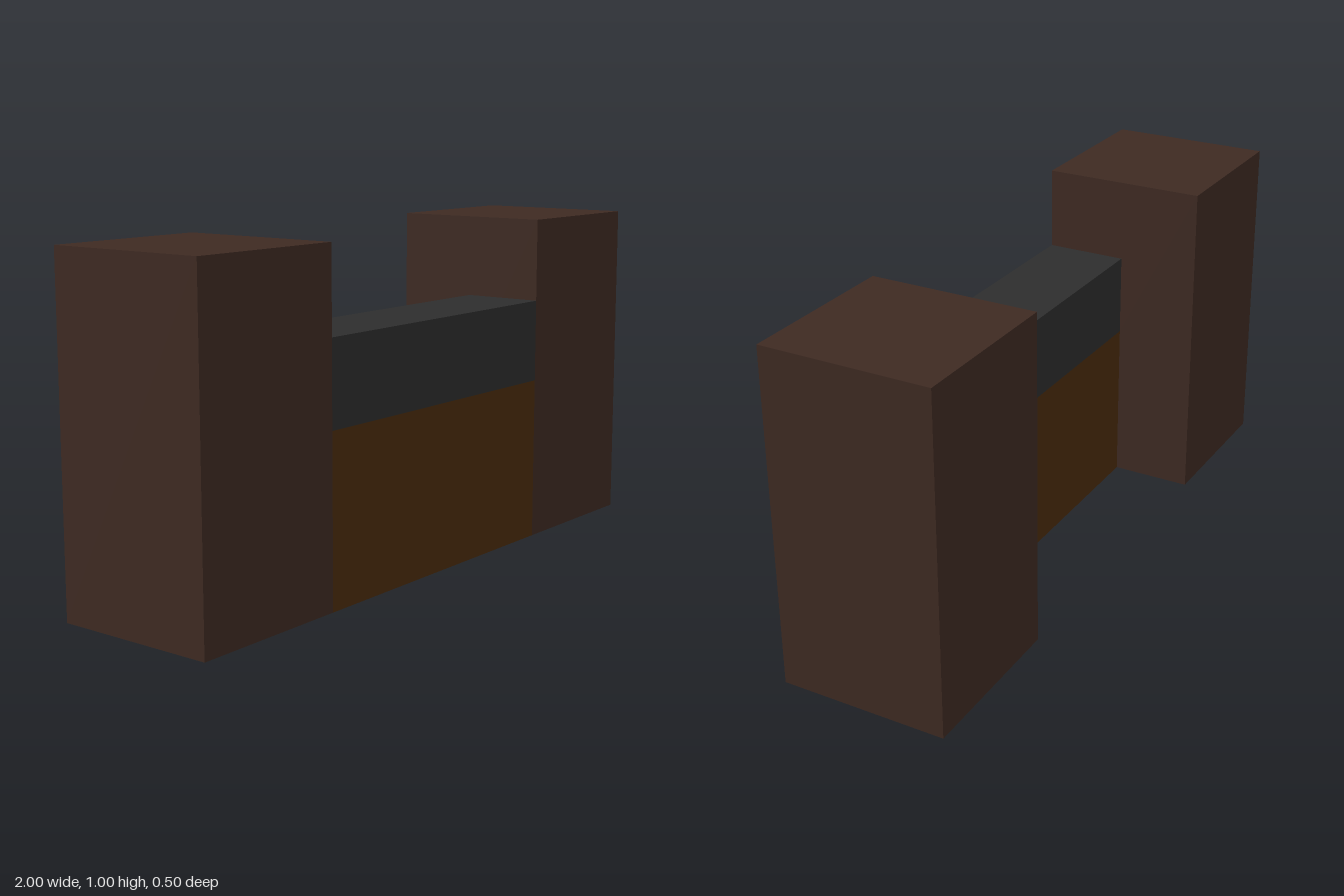
import * as THREE from 'three';

const material = (name, color) => {
  const m = new THREE.MeshStandardMaterial({ color });
  m.name = name;
  return m;
};

export function createModel() {
  const darkBrown = material('dark brown', 0x3e2a22);
  const warmBrown = material('warm brown', 0x4a2c0d);
  const charcoal = material('charcoal', 0x2d2d2d);

  const model = new THREE.Group();
  model.name = 'barrier';

  const box = (name, size, position, mat) => {
    const mesh = new THREE.Mesh(new THREE.BoxGeometry(...size), mat);
    mesh.name = name;
    mesh.position.set(...position);
    model.add(mesh);
  };

  // Square end pillars
  for (const [name, side] of [['leftPillar', 1], ['rightPillar', -1]]) {
    box(name, [0.5, 1, 0.5], [side * 0.75, 0.5, 0], darkBrown);
  }

  // Low wall and its cap, flush with the front of the pillars
  box('lowerWall', [1, 0.5, 0.25], [0, 0.25, 0.125], warmBrown);
  box('wallCap', [1, 0.25, 0.25], [0, 0.625, 0.125], charcoal);

  return model;
}
